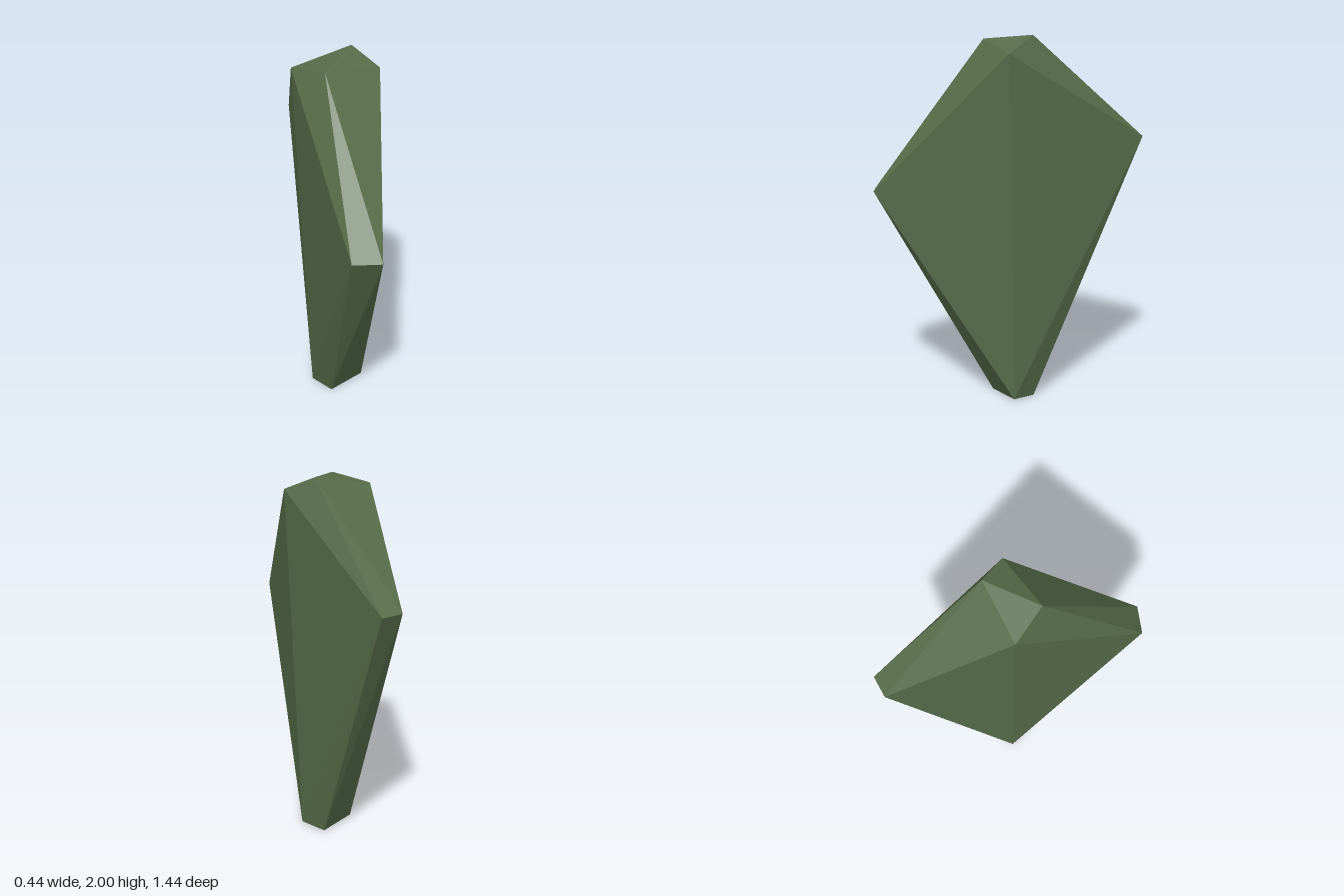
import * as THREE from 'three';
import { ConvexGeometry } from 'three/addons/geometries/ConvexGeometry.js';

export function createModel() {
  const group = new THREE.Group();
  const mossGreen = new THREE.MeshStandardMaterial({ color: 0x566c49 });

  // Corners of the faceted shard
  const corners = [
    // crown: left, back, right, front
    [-0.22, 1.93, -0.06], [0.11, 2.0, -0.11], [0.22, 1.92, 0.03], [-0.09, 1.96, 0.12],
    // front ridge
    [-0.11, 1.19, 0.69], [0.04, 1.19, 0.72],
    // back ridge
    [-0.09, 1.44, -0.7], [0.03, 1.44, -0.72],
    // foot: left, back, right, front
    [-0.13, 0.01, -0.04], [0.07, 0, -0.13], [0.15, 0.015, -0.01], [-0.05, 0, 0.08],
  ].map((p) => new THREE.Vector3(...p));

  const shard = new THREE.Mesh(new ConvexGeometry(corners), mossGreen);
  shard.name = 'shard';
  group.add(shard);
  return group;
}
